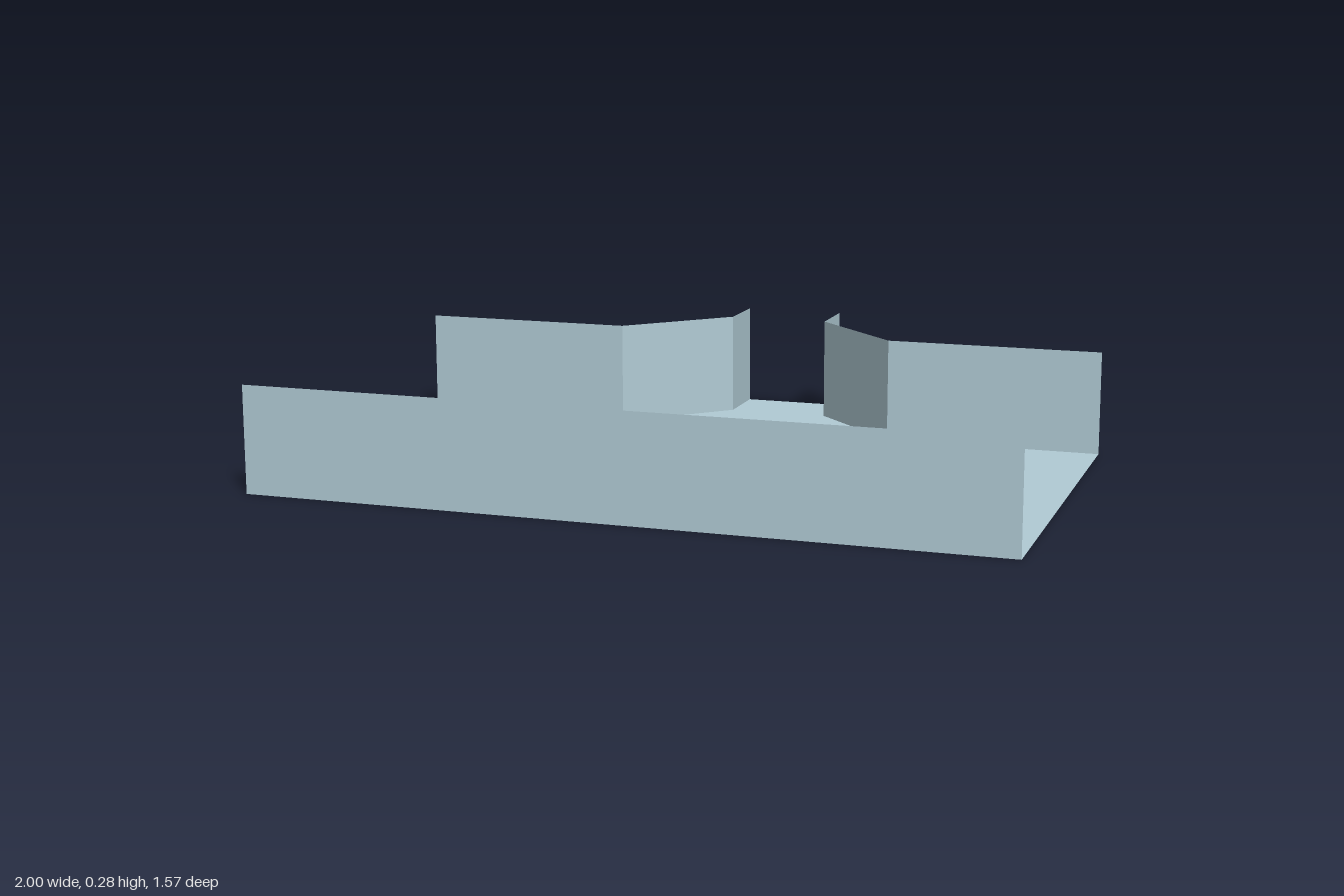
import * as THREE from 'three';

export function createModel() {
  const model = new THREE.Group();
  model.name = 'channelTee';
  const metal = new THREE.MeshStandardMaterial({ color: 0xb2ccd6, side: THREE.DoubleSide });
  metal.name = 'paleBlueMetal';

  const height = 0.285;
  const front = 0.785;
  // One back side of the tee, from the run's end to the branch's end: [x, z]
  const side = [[1, -0.357], [0.4, -0.357], [0.142, -0.615], [0.142, -front]];

  // Floor: the tee outline, laid flat with its face up
  const mirrored = side.map(([x, z]) => [-x, z]).reverse();
  const outline = [[-1, front], [1, front], ...side, ...mirrored];
  const floorShape = new THREE.Shape(outline.map(([x, z]) => new THREE.Vector2(x, -z)));
  const floor = new THREE.Mesh(new THREE.ShapeGeometry(floorShape).rotateX(-Math.PI / 2), metal);
  floor.name = 'floor';
  model.add(floor);

  // Upright sheet standing on the line from a to b
  function addWall(name, [ax, az], [bx, bz]) {
    const geometry = new THREE.PlaneGeometry(Math.hypot(bx - ax, bz - az), height);
    const wall = new THREE.Mesh(geometry, metal);
    wall.position.set((ax + bx) / 2, height / 2, (az + bz) / 2);
    wall.rotation.y = Math.atan2(az - bz, bx - ax);
    wall.name = name;
    model.add(wall);
  }

  addWall('frontWall', [-1, front], [1, front]);
  const parts = ['BackWall', 'AngledWall', 'BranchWall'];
  parts.forEach((part, i) => {
    addWall('left' + part, side[i], side[i + 1]);
    addWall('right' + part, mirrored[2 - i], mirrored[3 - i]);
  });

  return model;
}
